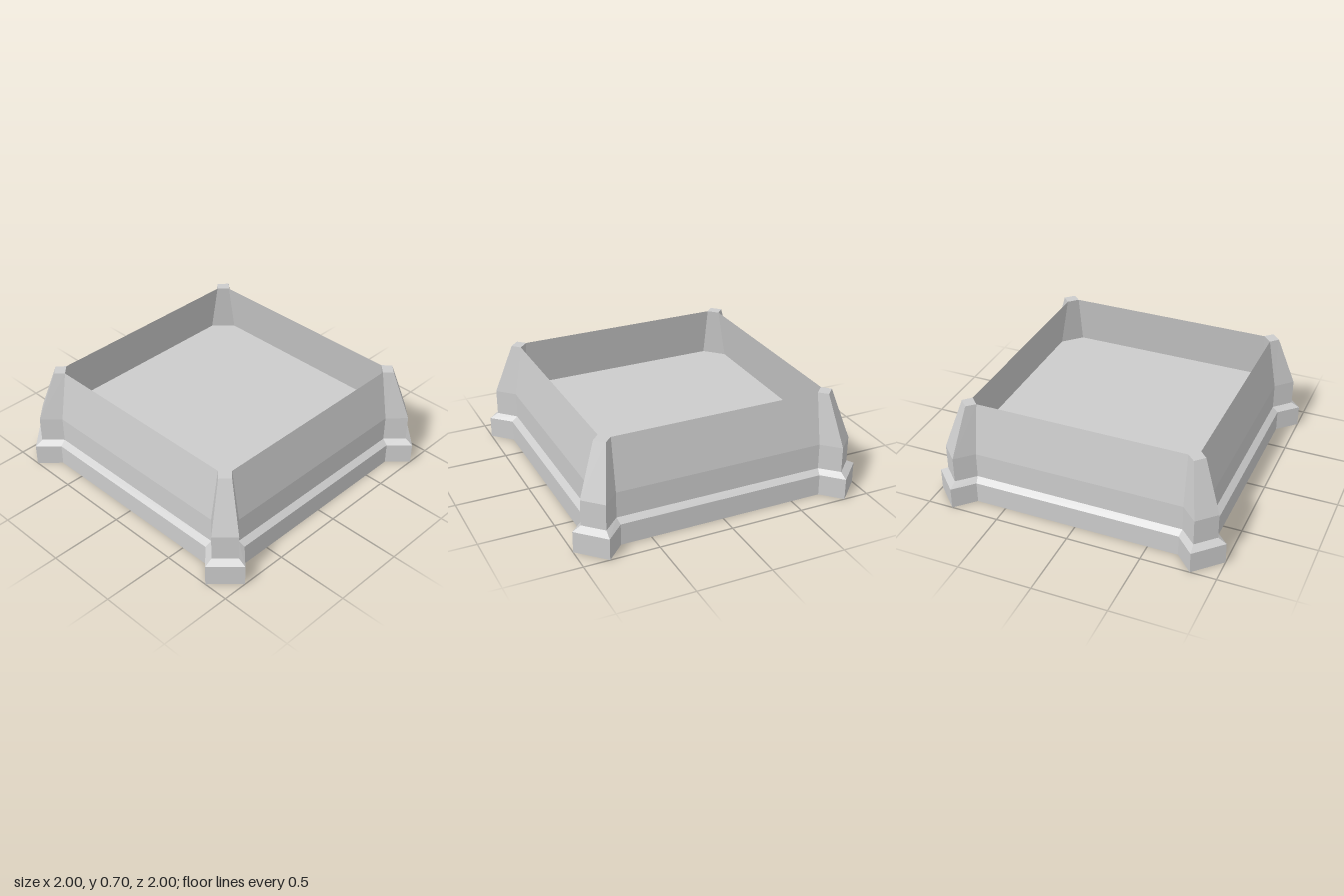
import * as THREE from 'three';

const material = new THREE.MeshStandardMaterial({
  color: 0xcccccc, flatShading: true, side: THREE.DoubleSide,
});

// Skin a stack of [x, y, z] loops, listed from bottom to top; loops run counter-clockwise seen from above.
function loft(name, loops, { closed = true, top = false, bottom = false } = {}) {
  const pos = [];
  const tri = (a, b, c) => pos.push(...a, ...b, ...c);
  for (let k = 0; k + 1 < loops.length; k++) {
    const lo = loops[k], hi = loops[k + 1], n = lo.length;
    for (let i = 0; i < (closed ? n : n - 1); i++) {
      const j = (i + 1) % n;
      tri(lo[i], lo[j], hi[j]);
      tri(lo[i], hi[j], hi[i]);
    }
  }
  const first = loops[0], last = loops[loops.length - 1];
  for (let i = 1; i + 1 < first.length; i++) {
    if (top) tri(last[0], last[i], last[i + 1]);
    if (bottom) tri(first[0], first[i + 1], first[i]);
  }
  const geo = new THREE.BufferGeometry();
  geo.setAttribute('position', new THREE.Float32BufferAttribute(pos, 3));
  geo.computeVertexNormals();
  const mesh = new THREE.Mesh(geo, material);
  mesh.name = name;
  return mesh;
}

// Corner section, symmetric about the diagonal: inner edge (a, b), outer edge (c, d).
const corner = (y, a, b, c, d) => [[a, y, b], [c, y, d], [d, y, c], [b, y, a]];

// Repeat a section's points around the four corners.
function around(points) {
  const out = [];
  for (let q = 0; q < 4; q++) {
    for (const [x, y, z] of points) {
      out.push([[x, y, z], [z, y, -x], [-x, y, -z], [-z, y, x]][q]);
    }
  }
  return out;
}

export function createModel() {
  const group = new THREE.Group();
  group.name = 'tray';

  // Plinth with a chamfered upper edge, open underneath
  group.add(loft('plinth', [
    around(corner(0, 0.705, 0.875, 0.828, 1)),
    around(corner(0.145, 0.705, 0.875, 0.828, 1)),
    around(corner(0.175, 0.715, 0.835, 0.825, 0.943)),
  ]));

  // Corner post: upright below, tapering inwards above
  const post = [
    corner(0.175, 0.715, 0.835, 0.825, 0.943),
    corner(0.35, 0.715, 0.835, 0.825, 0.943),
    corner(0.7, 0.715, 0.775, 0.767, 0.825),
  ];

  // Thin wall panel: upright below, leaning inwards above
  const wall = [[0.175, 0.835], [0.35, 0.835], [0.7, 0.775]]
    .map(([y, z]) => [[-0.715, y, z], [0.715, y, z]]);

  for (let q = 0; q < 4; q++) {
    const side = new THREE.Group();
    side.name = 'side' + (q + 1);
    side.rotation.y = q * Math.PI / 2;
    side.add(
      loft('cornerPost', post, { top: true, bottom: true }),
      loft('wallPanel', wall, { closed: false }),
    );
    group.add(side);
  }

  // Raised floor with cut corners
  group.add(loft('floor', [around([[0.715, 0.35, 0.835], [0.835, 0.35, 0.715]])], { top: true }));

  return group;
}
